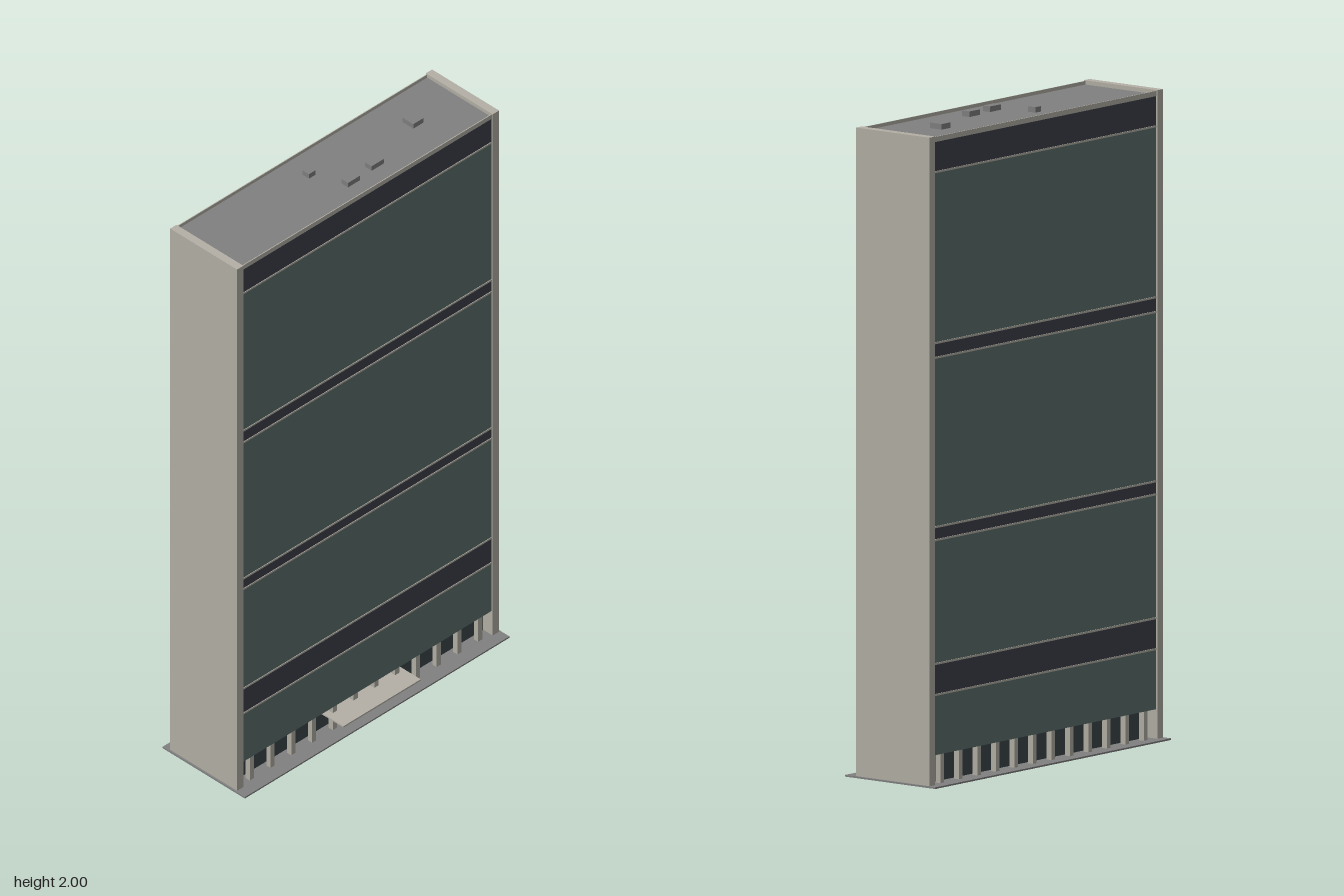
import * as THREE from 'three';

export function createModel() {
  const mat = (name, color) => Object.assign(new THREE.MeshStandardMaterial({ color }), { name });
  const stone = mat('stone', 0xb4b0a6);
  const glass = mat('glass', 0x5c716f);
  const dark = mat('dark band', 0x3d4049);
  const lobbyGlass = mat('lobby glass', 0x3c464a);
  const grey = mat('roof grey', 0x808080);

  const model = new THREE.Group();
  model.name = 'officeSlab';

  // box given by its limits on each axis
  const box = (name, m, x0, x1, y0, y1, z0, z1, parent = model) => {
    const mesh = new THREE.Mesh(new THREE.BoxGeometry(x1 - x0, y1 - y0, z1 - z0), m);
    mesh.position.set((x0 + x1) / 2, (y0 + y1) / 2, (z0 + z1) / 2);
    mesh.name = name;
    parent.add(mesh);
    return mesh;
  };

  const W = 0.532, ZF = 0.12, ZB = -0.155;

  // ground plate
  box('basePlate', grey, -0.565, 0.565, 0, 0.005, -0.188, 0.165);

  // solid end walls
  for (const s of [-1, 1]) {
    const inner = s * W, outer = s * 0.559;
    box('endWall', stone, Math.min(inner, outer), Math.max(inner, outer), 0.005, 1.996, -0.161, 0.126);
  }

  // facade storeys, glass alternating with dark service bands
  const levels = [0.095, 0.28, 0.375, 0.755, 0.795, 1.315, 1.36, 1.885, 1.978];
  for (let i = 0; i < levels.length - 1; i++) {
    const isBand = i % 2 === 1;
    box(isBand ? 'serviceBand' : 'glassStoreys', isBand ? dark : glass,
      -W, W, levels[i], levels[i + 1], ZB, ZF);
  }

  // fine ledges along the edges of each band, front and back
  for (const y of levels.slice(1, -1)) {
    box('frontLedge', stone, -W, W, y - 0.003, y + 0.003, ZF, ZF + 0.002);
    box('backLedge', stone, -W, W, y - 0.003, y + 0.003, ZB - 0.002, ZB);
  }

  // roof deck and thin parapets
  box('roofDeck', grey, -W, W, 1.978, 1.983, ZB, ZF);
  box('frontParapet', stone, -W, W, 1.978, 1.994, ZF, ZF + 0.003);
  box('backParapet', stone, -W, W, 1.978, 1.994, ZB - 0.003, ZB);

  // rooftop units: x, z, width, depth
  const units = [[-0.061, -0.066, 0.028, 0.028], [0.004, 0.048, 0.052, 0.028],
    [0.113, 0.04, 0.052, 0.028], [0.345, -0.028, 0.043, 0.046]];
  for (const [x, z, w, d] of units) {
    box('roofUnit', grey, x - w / 2, x + w / 2, 1.983, 2, z - d / 2, z + d / 2);
  }

  // recessed lobby with a row of columns on both long sides
  box('lobby', lobbyGlass, -W, W, 0.005, 0.095, ZB + 0.035, ZF - 0.035);
  const columns = new THREE.Group();
  columns.name = 'columns';
  model.add(columns);
  for (let i = 0; i < 12; i++) {
    const x = -0.487 + i * 0.0886;
    for (const z of [ZF - 0.012, ZB + 0.012]) {
      box('column', stone, x - 0.009, x + 0.009, 0.005, 0.095, z - 0.009, z + 0.009, columns);
    }
  }

  // entrance canopy
  box('canopy', stone, -0.165, 0.165, 0.065, 0.07, 0.085, 0.186);

  return model;
}
